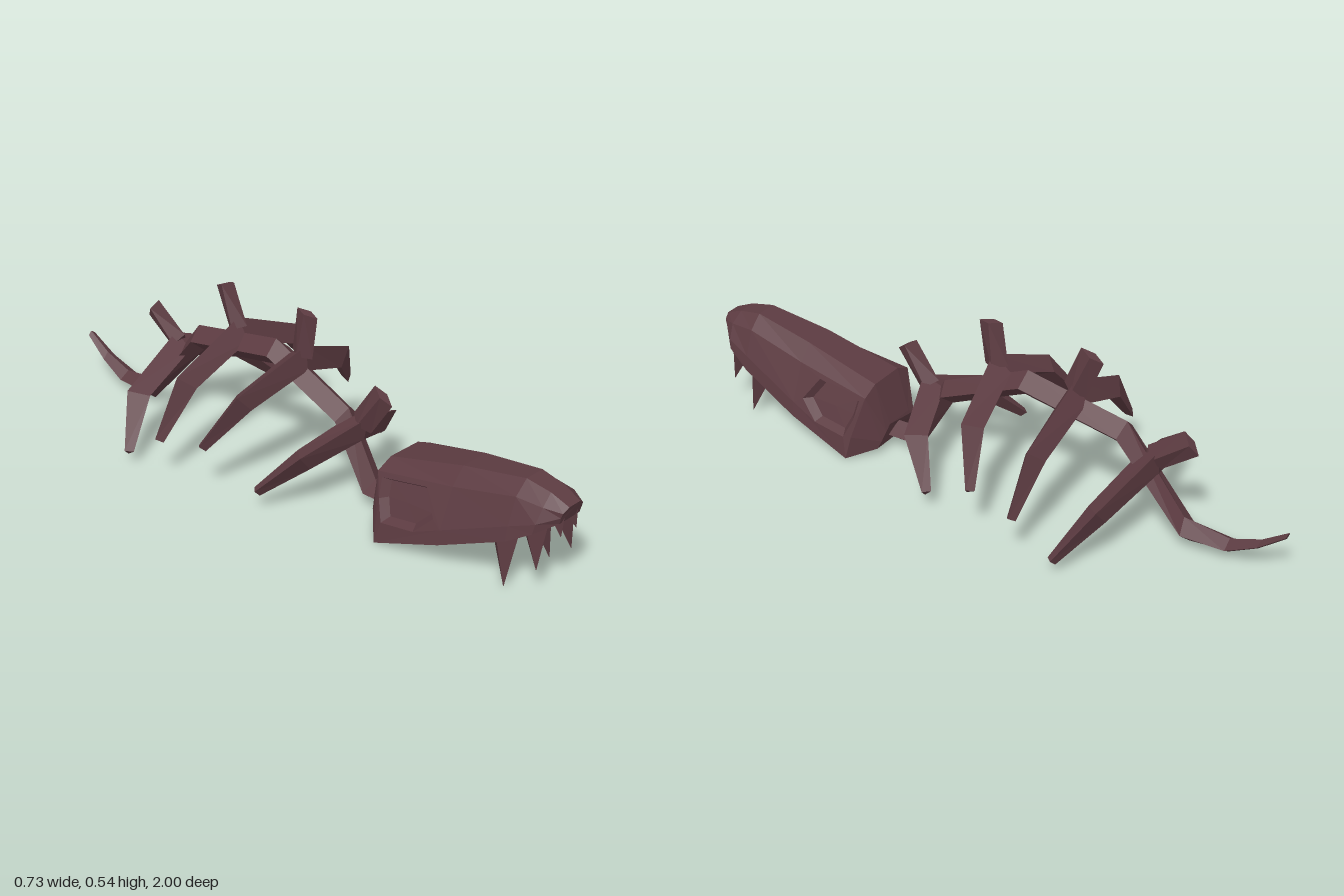
import * as THREE from 'three';

const V = (x, y, z) => new THREE.Vector3(x, y, z);
const material = new THREE.MeshStandardMaterial({ color: 0x5c3b41, flatShading: true });

// Flat-shaded mesh from a list of triangle corners
function meshFrom(points, name) {
  const geometry = new THREE.BufferGeometry().setFromPoints(points);
  geometry.computeVertexNormals();
  const mesh = new THREE.Mesh(geometry, material);
  mesh.name = name;
  return mesh;
}

// Triangles joining closed rings; skip(i, j) leaves a panel open
function loft(rings, skip = () => false) {
  const tris = [];
  const n = rings[0].length;
  for (let i = 0; i < rings.length - 1; i++) {
    for (let j = 0; j < n; j++) {
      if (skip(i, j)) continue;
      const k = (j + 1) % n;
      const [a, b, c, d] = [rings[i][j], rings[i][k], rings[i + 1][k], rings[i + 1][j]];
      tris.push(a, b, c, a, c, d);
    }
  }
  const first = rings[0], last = rings[rings.length - 1];
  for (let j = 1; j < n - 1; j++) {
    tris.push(first[0], first[j + 1], first[j], last[0], last[j], last[j + 1]);
  }
  return tris;
}

function flip(tris) {
  for (let i = 0; i < tris.length; i += 3) [tris[i + 1], tris[i + 2]] = [tris[i + 2], tris[i + 1]];
  return tris;
}

// Turns a closed solid outward by its signed volume
function outward(tris) {
  let volume = 0;
  for (let i = 0; i < tris.length; i += 3) {
    volume += tris[i].dot(V(0, 0, 0).crossVectors(tris[i + 1], tris[i + 2]));
  }
  return volume < 0 ? flip(tris) : tris;
}

// Diamond ring around a centre, from two half-diagonals
const diamond = (c, a, b) => [
  c.clone().add(a), c.clone().add(b), c.clone().sub(a), c.clone().sub(b),
];

// Triangular ring: ridge on the outer side, flat on the inner side
const wedge = (c, out, fore) => [
  c.clone().add(out), c.clone().sub(out).add(fore), c.clone().sub(out).sub(fore),
];

function makeSpine() {
  // top z, top y, bottom z, bottom y, half width
  const stations = [
    [0.37, 0.08, 0.42, 0.01, 0.045],
    [0.28, 0.08, 0.26, 0.01, 0.045],
    [0.17, 0.28, 0.14, 0.21, 0.045],
    [-0.13, 0.41, -0.12, 0.325, 0.048],
    [-0.47, 0.345, -0.45, 0.265, 0.048],
    [-0.67, 0.085, -0.69, 0.01, 0.045],
    [-0.82, 0.065, -0.82, 0.02, 0.036],
    [-0.92, 0.1, -0.91, 0.065, 0.024],
    [-1.0, 0.152, -0.995, 0.13, 0.014],
  ];
  const rings = stations.map(([tz, ty, bz, by, w]) => {
    const sy = (ty + by) / 2, sz = (tz + bz) / 2;
    return [V(0, ty, tz), V(w, sy, sz), V(0, by, bz), V(-w, sy, sz)];
  });
  return meshFrom(outward(loft(rings)), 'spine');
}

// A pair of bent ribs with a spike that leans its own way
function makeRibPair({ spike, root, tip, span }, index) {
  const group = new THREE.Group();
  group.name = 'ribPair' + index;
  const [top, base, end] = [spike, root, tip].map(([z, y]) => V(0, y, z));
  const up = base.clone().sub(end).normalize();
  const fore = V(1, 0, 0).cross(up).normalize();
  const ring = (x, along, outX, outUp, width) => wedge(
    end.clone().lerp(base, along).setX(x),
    V(outX, 0, 0).addScaledVector(up, outUp),
    fore.clone().multiplyScalar(width));
  const half = (s) => [
    ring(s * span, 0, s * 0.01, 0.007, 0.015),
    ring(s * span * 0.68, 0.61, s * 0.024, 0.021, 0.034),
  ];
  const rings = [...half(-1), ring(0, 1, 0, 0.034, 0.041), ...half(1).reverse()];
  group.add(meshFrom(outward(loft(rings)), 'ribs'));

  const lean = top.clone().sub(base).normalize();
  const depth = V(1, 0, 0).cross(lean).multiplyScalar(0.041);
  const spikeRings = [diamond(base, V(0.028, 0, 0), depth), diamond(top, V(0.016, 0, 0), depth)];
  group.add(meshFrom(outward(loft(spikeRings)), 'spike'));
  return group;
}

function makeSkull() {
  const group = new THREE.Group();
  group.name = 'skull';
  // crown, shoulder, cheek and jaw corners [x, y, z] from snout to neck
  const sections = [
    [[0.025, 0.285, 1.0], [0.045, 0.27, 0.995], [0.047, 0.255, 0.99], [0.045, 0.235, 0.985]],
    [[0.03, 0.31, 0.94], [0.07, 0.28, 0.945], [0.094, 0.235, 0.94], [0.1, 0.205, 0.935]],
    [[0.035, 0.325, 0.86], [0.08, 0.285, 0.86], [0.111, 0.205, 0.86], [0.12, 0.16, 0.86]],
    [[0.05, 0.29, 0.65], [0.095, 0.24, 0.65], [0.146, 0.12, 0.65], [0.155, 0.075, 0.65]],
    [[0.06, 0.225, 0.39], [0.115, 0.2, 0.39], [0.163, 0.075, 0.415], [0.175, 0, 0.43]],
    [[0.05, 0.09, 0.345], [0.075, 0.075, 0.342], [0.09, 0.045, 0.35], [0.1, 0.02, 0.36]],
  ];
  const rings = sections.map((s) => {
    const left = s.map((p) => V(...p));
    return [...left, ...left.map((p) => V(-p.x, p.y, p.z)).reverse()];
  });
  // the cheek panels are left open for the eye sockets
  const full = loft(rings);
  const shell = loft(rings, (i, j) => i === 3 && [1, 2, 4, 5].includes(j));
  const first = full[1].clone();
  outward(full);
  if (!first.equals(full[1])) flip(shell);
  group.add(meshFrom(shell, 'cranium'));

  // cheek with a sunken six-sided socket, in (z, y)
  const P = (z, y) => new THREE.Vector2(z, y);
  const outline = [P(0.65, 0.24), P(0.39, 0.2), P(0.415, 0.075), P(0.43, 0),
    P(0.65, 0.075), P(0.65, 0.12)];
  const hole = [P(0.618, 0.14), P(0.568, 0.212), P(0.41, 0.187),
    P(0.418, 0.13), P(0.445, 0.068), P(0.56, 0.082)];
  const edgeX = (y, cheekX, cheekY, above, below) =>
    cheekX + (cheekY - y) * (y > cheekY ? above : below);
  const surfaceX = (p) => THREE.MathUtils.lerp(
    edgeX(p.y, 0.146, 0.12, 0.425, 0.2), edgeX(p.y, 0.163, 0.075, 0.384, 0.16),
    THREE.MathUtils.clamp((0.65 - p.x) / 0.235, 0, 1));
  const centre = P(0.505, 0.137);
  const floor = hole.map((p) => p.clone().lerp(centre, 0.2));
  const face = (tri) => { // turn toward +x
    const n = tri[1].clone().sub(tri[0]).cross(tri[2].clone().sub(tri[0]));
    return n.x < 0 ? [tri[0], tri[2], tri[1]] : tri;
  };
  for (const side of [1, -1]) {
    const tris = [];
    const lift = (p) => V(surfaceX(p), p.y, p.x);
    const sink = (p) => V(surfaceX(p) - 0.025, p.y, p.x);
    const flat = [...outline, ...hole];
    for (const f of THREE.ShapeUtils.triangulateShape(outline, [hole])) {
      tris.push(...face(f.map((i) => lift(flat[i]))));
    }
    hole.forEach((p, i) => {
      const k = (i + 1) % hole.length;
      const [a, b, c, d] = [lift(p), lift(hole[k]), sink(floor[k]), sink(floor[i])];
      tris.push(...face([a, b, c]), ...face([a, c, d]), ...face([sink(centre), d, c]));
    });
    if (side < 0) {
      tris.forEach((p, i) => { tris[i] = V(-p.x, p.y, p.z); });
      flip(tris);
    }
    group.add(meshFrom(tris, side > 0 ? 'leftEyeSocket' : 'rightEyeSocket'));
  }

  // teeth: base centre, tip, base half sizes
  const teeth = [
    [[0.03, 0.25, 0.965], [0.035, 0.19, 0.985], 0.027, 0.025],
    [[0.06, 0.222, 0.91], [0.08, 0.086, 0.942], 0.04, 0.048],
    [[0.07, 0.185, 0.82], [0.105, 0.006, 0.852], 0.046, 0.055],
  ];
  for (const side of [1, -1]) {
    for (const [base, tip, w, d] of teeth) {
      const root = diamond(V(side * base[0], base[1], base[2]), V(w, 0, 0), V(0, 0, d));
      const point = V(side * tip[0], tip[1], tip[2]);
      const end = diamond(point, V(0.001, 0, 0), V(0, 0, 0.001));
      group.add(meshFrom(outward(loft([root, end])), side > 0 ? 'leftTooth' : 'rightTooth'));
    }
  }
  return group;
}

export function createModel() {
  const model = new THREE.Group();
  model.name = 'skeleton';
  model.add(makeSkull(), makeSpine());
  // spike top, rib root and rib tip as [z, y], with the half span
  const ribs = [
    { spike: [0.305, 0.367], root: [0.225, 0.25], tip: [0.055, 0.065], span: 0.28 },
    { spike: [0, 0.536], root: [-0.02, 0.395], tip: [-0.13, 0.162], span: 0.325 },
    { spike: [-0.347, 0.525], root: [-0.293, 0.395], tip: [-0.29, 0.138], span: 0.353 },
    { spike: [-0.68, 0.34], root: [-0.563, 0.255], tip: [-0.43, 0.045], span: 0.353 },
  ];
  ribs.forEach((r, i) => model.add(makeRibPair(r, i + 1)));
  return model;
}
